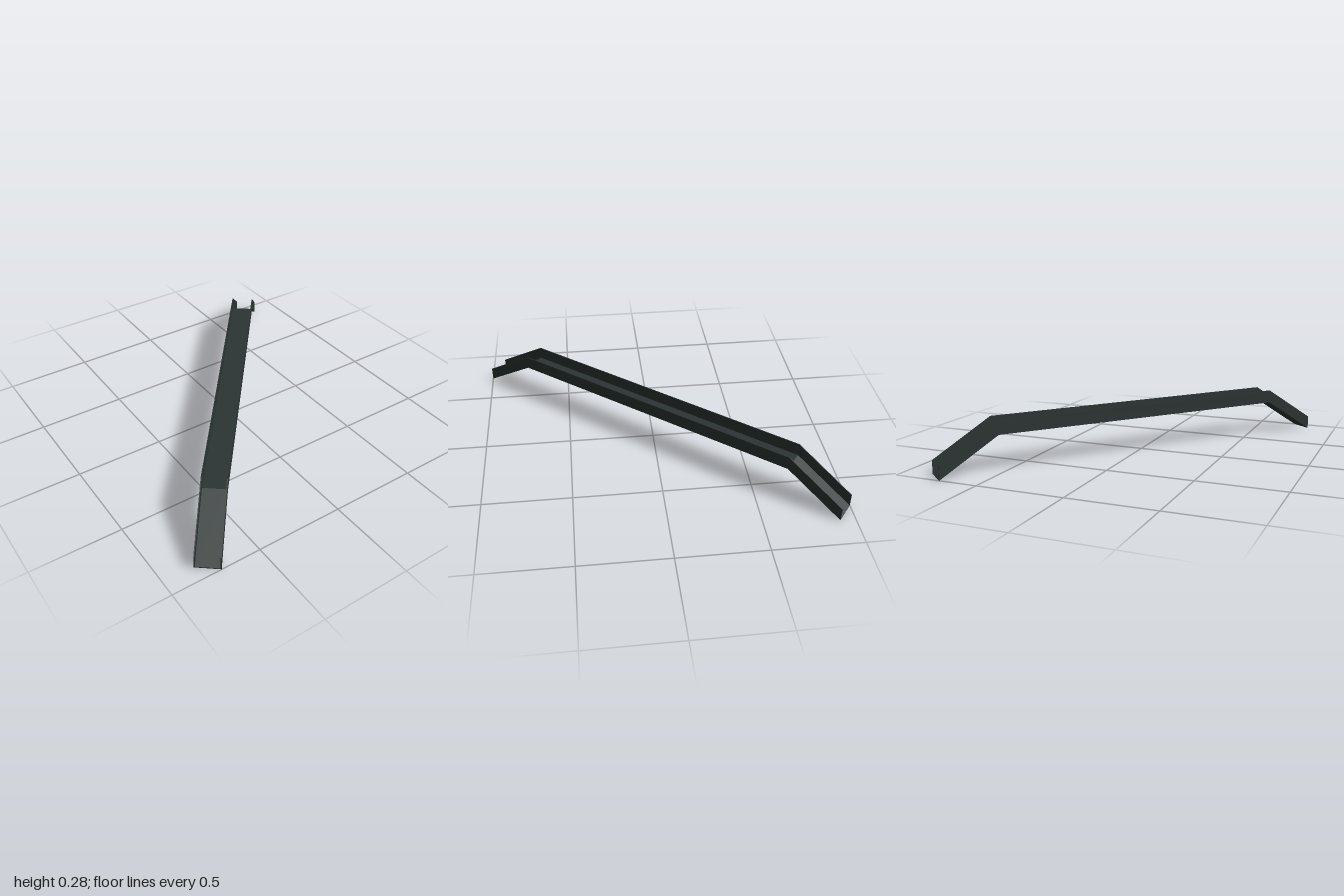
import * as THREE from 'three';

const HALF = 1.233;   // half length along the run
const BEND = 0.903;   // where the sloped ends begin
const RISE = 0.206;   // height of the raised middle
const WIDTH = 0.135;
const WALL = 0.078;   // side wall height
const T = 0.005;      // sheet thickness

// Band following the raised path, 'h' tall, extruded across 'depth' and centred on z
function band(h, depth) {
  const path = [[-HALF, 0], [-BEND, RISE], [BEND, RISE], [HALF, 0]];
  const top = path.map(([x, y]) => [x, y + h]).reverse();
  const shape = new THREE.Shape([...path, ...top].map(([x, y]) => new THREE.Vector2(x, y)));
  const geometry = new THREE.ExtrudeGeometry(shape, { depth, bevelEnabled: false });
  return geometry.translate(0, 0, -depth / 2);
}

export function createModel() {
  const steel = new THREE.MeshStandardMaterial({ color: 0x2c3534 });
  steel.name = 'darkSteel';

  const model = new THREE.Group();
  model.name = 'raisedChannel';

  // Floor of the open-topped channel
  const floor = new THREE.Mesh(band(T, WIDTH - 2 * T), steel);
  floor.name = 'channelFloor';
  model.add(floor);

  // Two upright side walls
  const wallGeometry = band(WALL, T);
  for (const side of [-1, 1]) {
    const wall = new THREE.Mesh(wallGeometry, steel);
    wall.name = side > 0 ? 'frontWall' : 'backWall';
    wall.position.z = side * (WIDTH - T) / 2;
    model.add(wall);
  }

  // The run lies diagonally across the ground
  model.rotation.y = 0.889;
  const root = new THREE.Group();
  root.name = 'channelBridge';
  root.add(model);
  return root;
}
